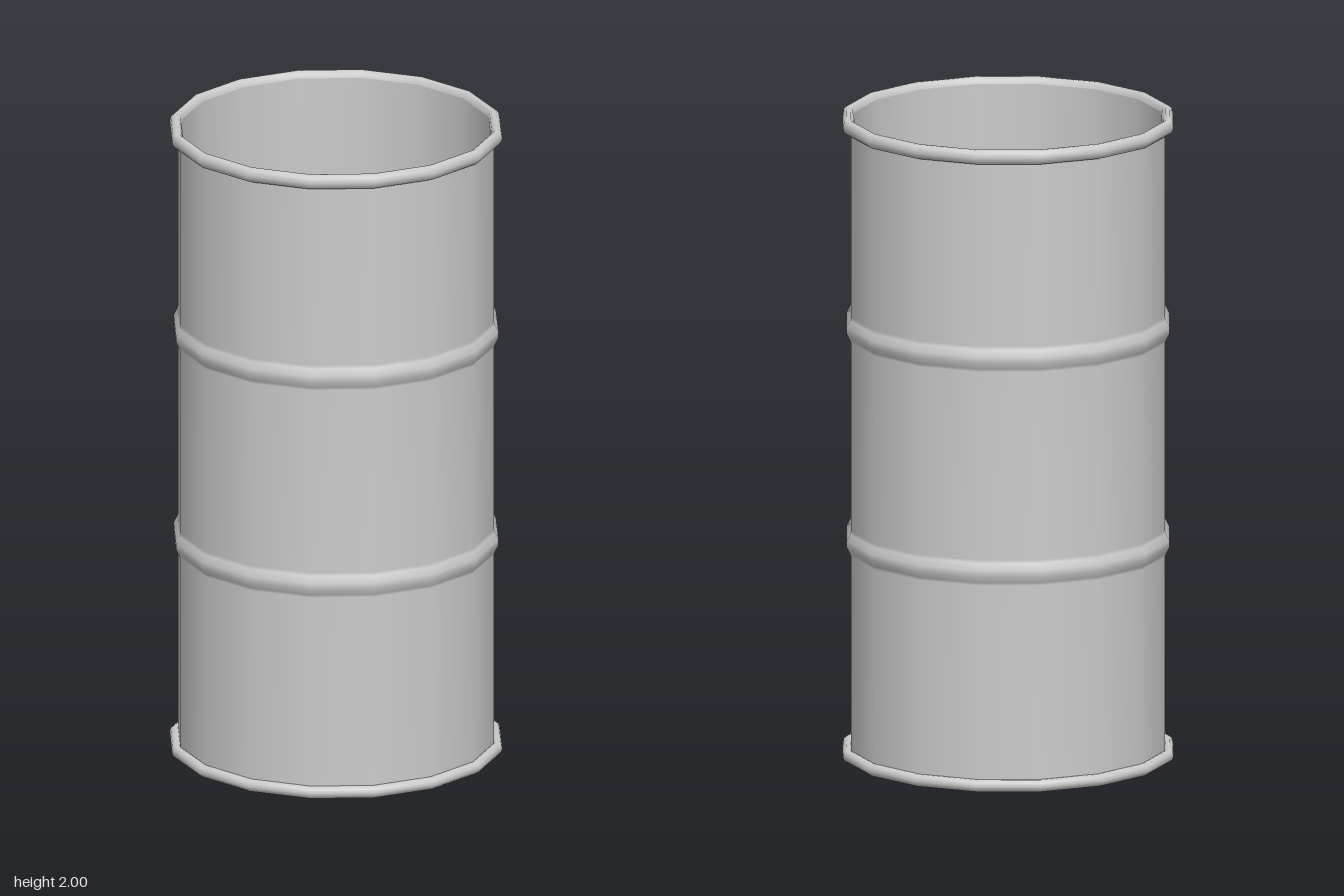
import * as THREE from 'three';

const SIDES = 16;
const BODY_R = 0.485;
const WALL = 0.01;
const BEADS = [0.68, 1.345];

const material = new THREE.MeshStandardMaterial({ color: 0xcccccc });

// Revolves [radius, height] pairs; profiles run upward on outward faces.
function lathe(name, pairs) {
  const points = pairs.map(([r, y]) => new THREE.Vector2(r, y));
  const mesh = new THREE.Mesh(new THREE.LatheGeometry(points, SIDES), material);
  mesh.name = name;
  return mesh;
}

// Wall profile with a raised bead at each reinforcing height.
function wallProfile(radius, bottom, top) {
  const bead = [[0, -0.04], [0.004, -0.03], [0.014, -0.01], [0.014, 0.01], [0.004, 0.03], [0, 0.04]];
  const profile = [[radius, bottom]];
  for (const y of BEADS) {
    for (const [dr, dy] of bead) profile.push([radius + dr, y + dy]);
  }
  profile.push([radius, top]);
  return profile;
}

// Rolled rim: a rounded closed loop, with its seam on the inner side.
function rim(name, centerY, halfHeight) {
  const profile = [];
  const steps = 10;
  for (let i = 0; i <= steps; i++) {
    const a = Math.PI + (i / steps) * Math.PI * 2;
    profile.push([0.493 + 0.018 * Math.cos(a), centerY + halfHeight * Math.sin(a)]);
  }
  return lathe(name, profile);
}

export function createModel() {
  const barrel = new THREE.Group();
  barrel.name = 'barrel';

  // Outer shell with two beads
  barrel.add(lathe('outerWall', wallProfile(BODY_R, 0.015, 1.98)));

  // Inside wall, blending softly into the floor
  const inner = wallProfile(BODY_R - WALL, 0.06, 1.98).reverse();
  inner.push([0.465, 0.04], [0.4, 0.03], [0, 0.03]);
  barrel.add(lathe('innerWallAndFloor', inner));

  // Flat underside
  barrel.add(lathe('underside', [[0, 0.01], [BODY_R, 0.01]]));

  // Rolled rims at both ends
  barrel.add(rim('topRim', 1.977, 0.023));
  barrel.add(rim('bottomRim', 0.019, 0.019));

  return barrel;
}
